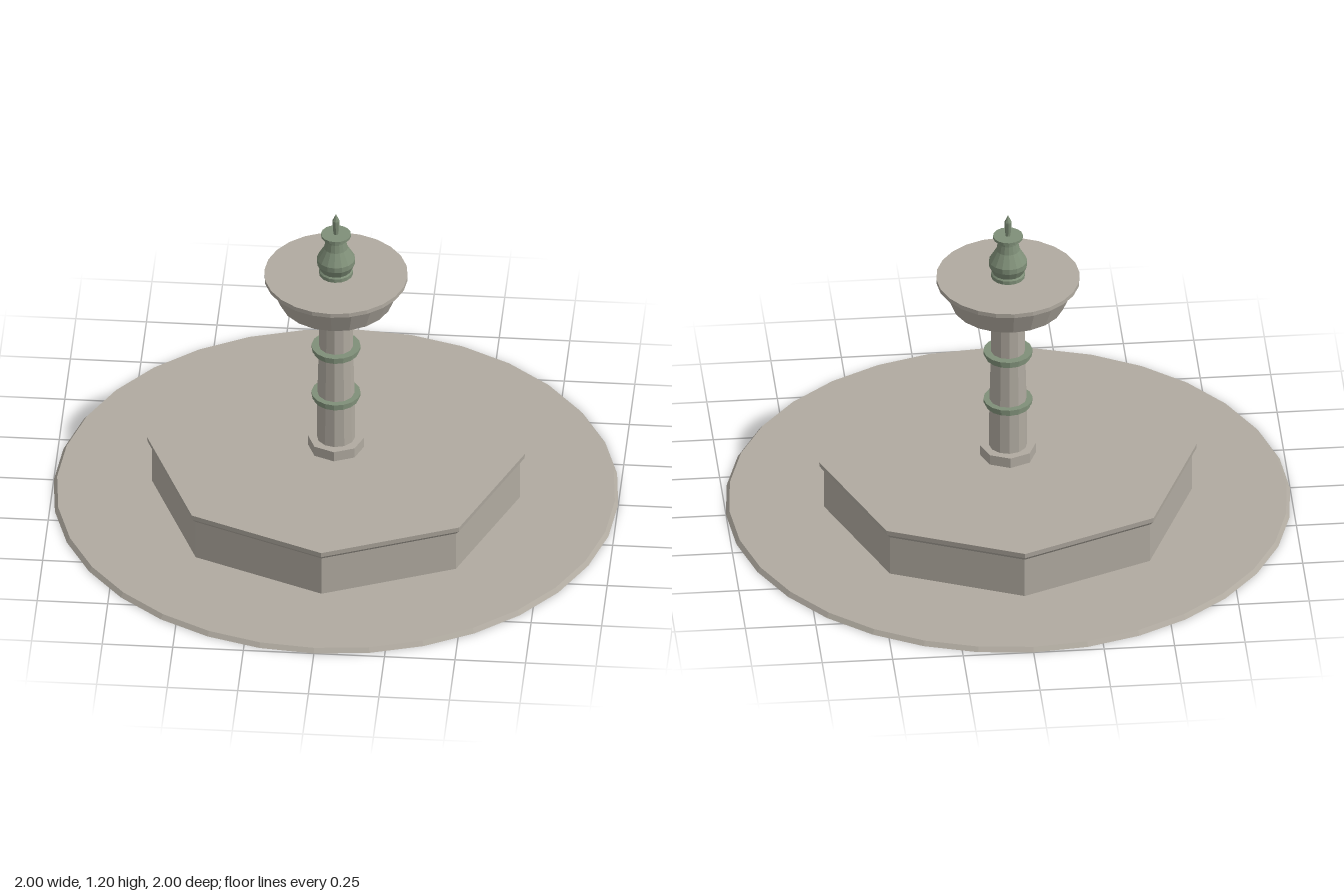
import * as THREE from 'three';

const stone = new THREE.MeshStandardMaterial({ color: 0xb0aaa0, flatShading: true });
const patina = new THREE.MeshStandardMaterial({ color: 0x7f8f78, flatShading: true });

export function createModel() {
  const model = new THREE.Group();
  model.name = 'fountain';

  // A faceted solid of revolution from [radius, height] pairs, listed bottom to top
  function turned(name, sides, material, profile) {
    const points = profile.map(([r, y]) => new THREE.Vector2(r, y));
    points.unshift(new THREE.Vector2(0, profile[0][1]));
    points.push(new THREE.Vector2(0, profile[profile.length - 1][1]));
    const mesh = new THREE.Mesh(new THREE.LatheGeometry(points, sides), material);
    mesh.name = name;
    model.add(mesh);
  }

  // Paving and octagonal basin
  turned('pavingDisc', 32, stone, [[1, 0], [0.988, 0.016]]);
  turned('basin', 8, stone, [[0.652, 0.016], [0.652, 0.18]]);
  turned('basinCoping', 8, stone, [[0.652, 0.168], [0.668, 0.184], [0.67, 0.203]]);

  // Column on an octagonal plinth
  turned('plinth', 8, stone, [[0.1, 0.203], [0.1, 0.242]]);
  turned('column', 12, stone, [[0.068, 0.242], [0.066, 0.42], [0.066, 0.43], [0.061, 0.62], [0.06, 0.808]]);
  turned('capital', 16, stone, [[0.075, 0.8], [0.075, 0.814], [0.1, 0.814], [0.1, 0.832]]);

  // Metal bands around the column
  for (const y of [0.408, 0.608]) {
    turned('columnBand', 16, patina, [[0.08, y], [0.08, y + 0.012], [0.087, y + 0.014], [0.087, y + 0.026]]);
  }

  // Upper bowl with its rim
  turned('upperBowl', 20, stone, [[0.2, 0.832], [0.24, 0.928]]);
  turned('bowlRim', 24, stone, [[0.254, 0.927], [0.254, 0.943]]);

  // Finial with a vase body, flange and spout
  turned('finialVase', 16, patina, [
    [0.06, 0.943], [0.06, 0.957], [0.055, 0.962], [0.068, 0.99], [0.068, 1.01],
    [0.042, 1.055], [0.036, 1.085], [0.036, 1.1],
  ]);
  turned('finialFlange', 16, patina, [[0.04, 1.097], [0.053, 1.103], [0.053, 1.113]]);
  turned('spout', 8, patina, [[0.009, 1.113], [0.013, 1.165], [0.013, 1.17], [0.001, 1.195]]);

  return model;
}
